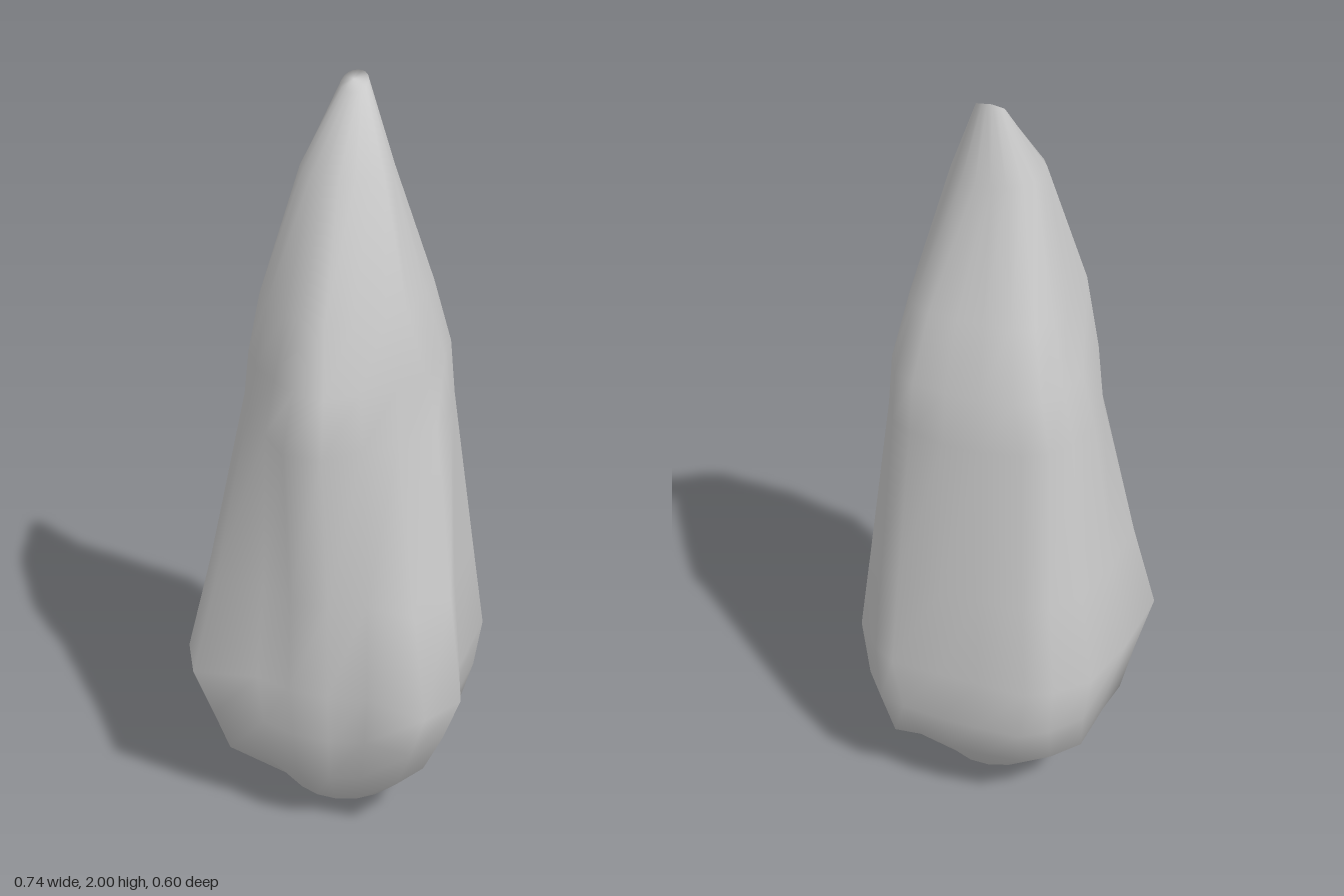
import * as THREE from 'three';

const mix = THREE.MathUtils.lerp;

// Half cross-sections from front ridge to back, as [x, z] fractions of the ring's extents
const base = [[.14, .97], [.40, .88], [.84, 1], [1, .62], [.87, .17], [.86, -.62], [.66, -.88], [.49, -1], [.14, -1]];
const upper = [[.19, 1], [.48, .73], [.75, .54], [.97, .13], [1, -.2], [.92, -.56], [.78, -.8], [.55, -.92], [.18, -1]];
const shoulder = [[.15, 1], [.45, .84], [.8, .66], [1, .46], [1, -.2], [.97, -.6], [.82, -.85], [.55, -1], [.18, -1]];
const round = base.map((_, i) => {
  const a = (i + 0.5) * Math.PI / 9;
  return [Math.sin(a), Math.cos(a)];
});
const foot = base.map((p, i) => [mix(round[i][0], p[0], .55), mix(round[i][1], p[1], .55)]);

// Copy of a section with some of its points replaced
const vary = (section, changes) => section.map((p, i) => changes[i] ?? p);

// The left foot has a squarer back corner; the right flank is fuller
const leftSections = [round, vary(foot, { 5: [.97, -.7], 6: [.76, -.97] }), base, upper, shoulder, round];
const rightSections = [round, foot, vary(base, { 4: [.965, -.05] }), upper, shoulder, round];

// Rings: y, right extent, left extent, back extent, front extent, section blend, z centre, tilt
const rings = [
  [0, .05, .05, .05, .05, 0, 0, 0],
  [.07, .155, .155, .155, .155, 0, 0, 0],
  [.21, .31, .265, .26, .25, 1, 0, 0],
  [.34, .335, .32, .30, .27, 1.5, 0, 0],
  [.49, .37, .37, .297, .29, 2, 0, 0],
  [.75, .322, .325, .285, .277, 2.3, 0, 0],
  [1.18, .262, .255, .257, .305, 3, 0, 0],
  [1.32, .228, .235, .247, .265, 3.5, 0, 0],
  [1.49, .182, .19, .19, .225, 4, 0, 0],
  [1.8, .107, .112, .11, .105, 4.9, 0, 0],
  [1.98, .035, .03, .03, .03, 5, -.065, .6],
];

function createShell() {
  const half = base.length, n = half * 2;
  const pos = [], index = [];
  for (const [y, right, left, back, front, blend, zc, tilt] of rings) {
    const k = Math.min(Math.floor(blend), 4), t = blend - k;
    for (let j = 0; j < n; j++) {
      const isLeft = j < half, i = isLeft ? j : n - 1 - j;
      const sections = isLeft ? leftSections : rightSections;
      const a = sections[k][i], b = sections[k + 1][i];
      const fx = mix(a[0], b[0], t), fz = mix(a[1], b[1], t);
      const z = fz * (fz > 0 ? front : back);
      pos.push(isLeft ? fx * left : -fx * right, y - z * tilt, z + zc);
    }
  }
  // Skin between neighbouring rings
  for (let r = 0; r < rings.length - 1; r++) {
    for (let j = 0; j < n; j++) {
      const a = r * n + j, b = r * n + (j + 1) % n;
      index.push(a, b, b + n, a, b + n, a + n);
    }
  }
  // Small caps at the foot and tip
  const bottom = pos.length / 3, tip = bottom + 1, last = (rings.length - 1) * n;
  pos.push(0, 0, 0, -.005, 1.985, -.065);
  for (let j = 0; j < n; j++) {
    const next = (j + 1) % n;
    index.push(bottom, next, j, tip, last + j, last + next);
  }
  const geo = new THREE.BufferGeometry();
  geo.setAttribute('position', new THREE.Float32BufferAttribute(pos, 3));
  geo.setIndex(index);
  geo.computeVertexNormals();
  return geo;
}

export function createModel() {
  const group = new THREE.Group();
  group.name = 'seedPod';
  const shell = new THREE.Mesh(createShell(), new THREE.MeshStandardMaterial({ color: 0xcccccc }));
  shell.name = 'podShell';
  group.add(shell);
  return group;
}
